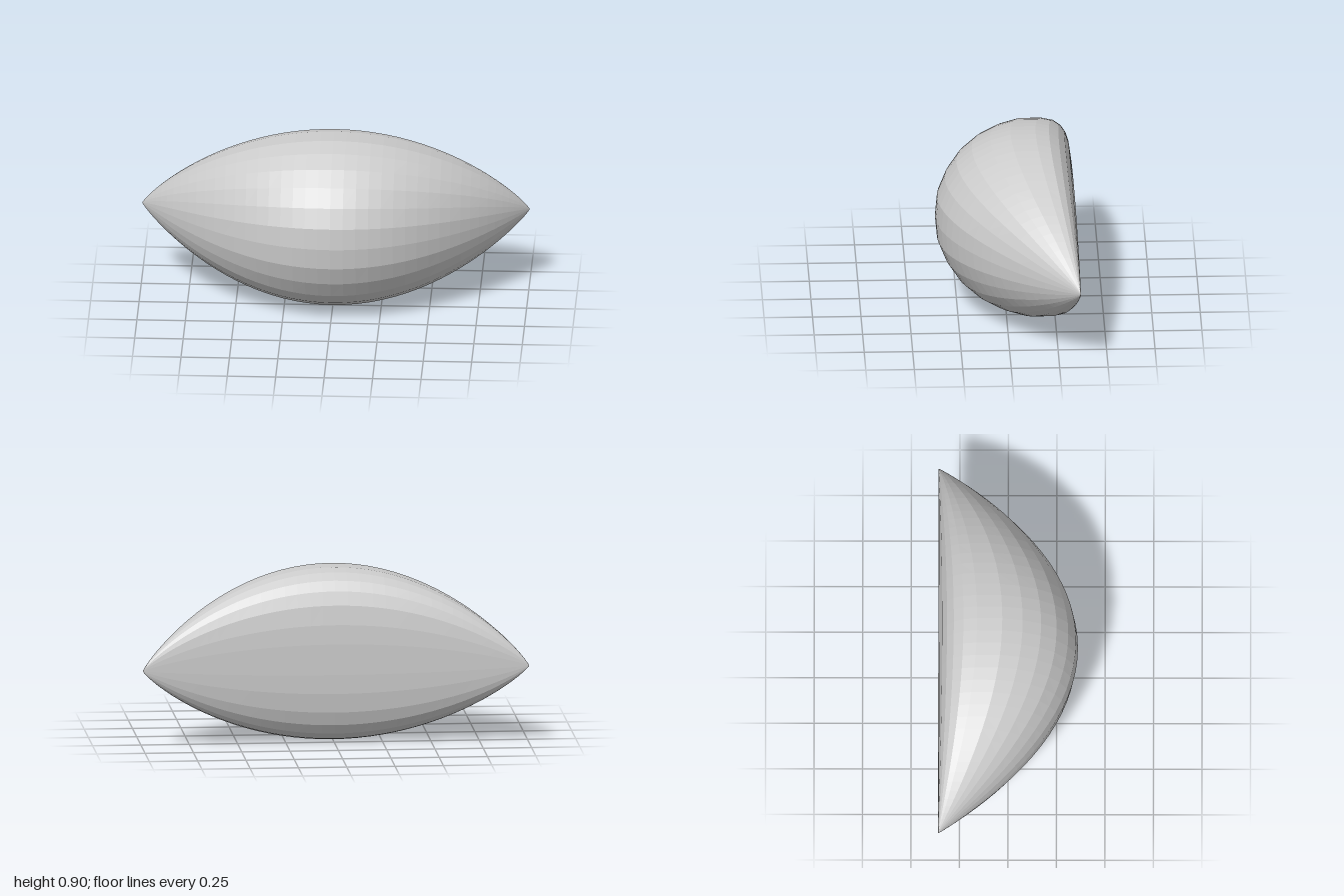
import * as THREE from 'three';

// Upper half of the middle cross-section as [z, height above its axis], front to back
const HALF = [
  [0.36, 0], [0.35, 0.11], [0.31, 0.21], [0.25, 0.3], [0.17, 0.37], [0.075, 0.42], [-0.03, 0.45],
  [-0.16, 0.45], [-0.23, 0.435], [-0.28, 0.4], [-0.315, 0.35], [-0.34, 0.28], [-0.355, 0.18], [-0.36, 0.08],
];
const AXIS_Y = 0.45;
const TIP = { y: 0.405, z: -0.36 };
const RINGS = 48;

export function createModel() {
  // Mirror the half profile into a closed loop
  const lower = HALF.slice(1).reverse().map(([z, h]) => [z, -h]);
  const section = [...HALF, ...lower];
  const n = section.length;

  // Sections shrink along x towards the two pointed tips
  const positions = [];
  for (let i = 0; i <= RINGS; i++) {
    const x = -Math.cos((Math.PI * i) / RINGS);
    const taper = Math.max(0, 1 - x * x);
    const tallness = Math.pow(taper, 0.86);
    for (const [z, h] of section) {
      positions.push(
        x,
        TIP.y + (AXIS_Y + h - TIP.y) * tallness,
        TIP.z + (z - TIP.z) * taper,
      );
    }
  }

  // Join neighbouring sections, with single triangles at the tips
  const index = [];
  for (let i = 0; i < RINGS; i++) {
    for (let j = 0; j < n; j++) {
      const k = (j + 1) % n;
      const a = i * n + j, b = a + n, c = i * n + k, d = c + n;
      if (i < RINGS - 1) index.push(a, b, d);
      if (i > 0) index.push(a, d, c);
    }
  }

  const indexed = new THREE.BufferGeometry();
  indexed.setAttribute('position', new THREE.Float32BufferAttribute(positions, 3));
  indexed.setIndex(index);
  const geometry = indexed.toNonIndexed();
  geometry.computeVertexNormals();

  // Flat-backed wedge body
  const body = new THREE.Mesh(
    geometry,
    new THREE.MeshStandardMaterial({ color: 0xcccccc, flatShading: true }),
  );
  body.name = 'wedgeBody';

  const group = new THREE.Group();
  group.name = 'wedge';
  group.add(body);
  return group;
}
